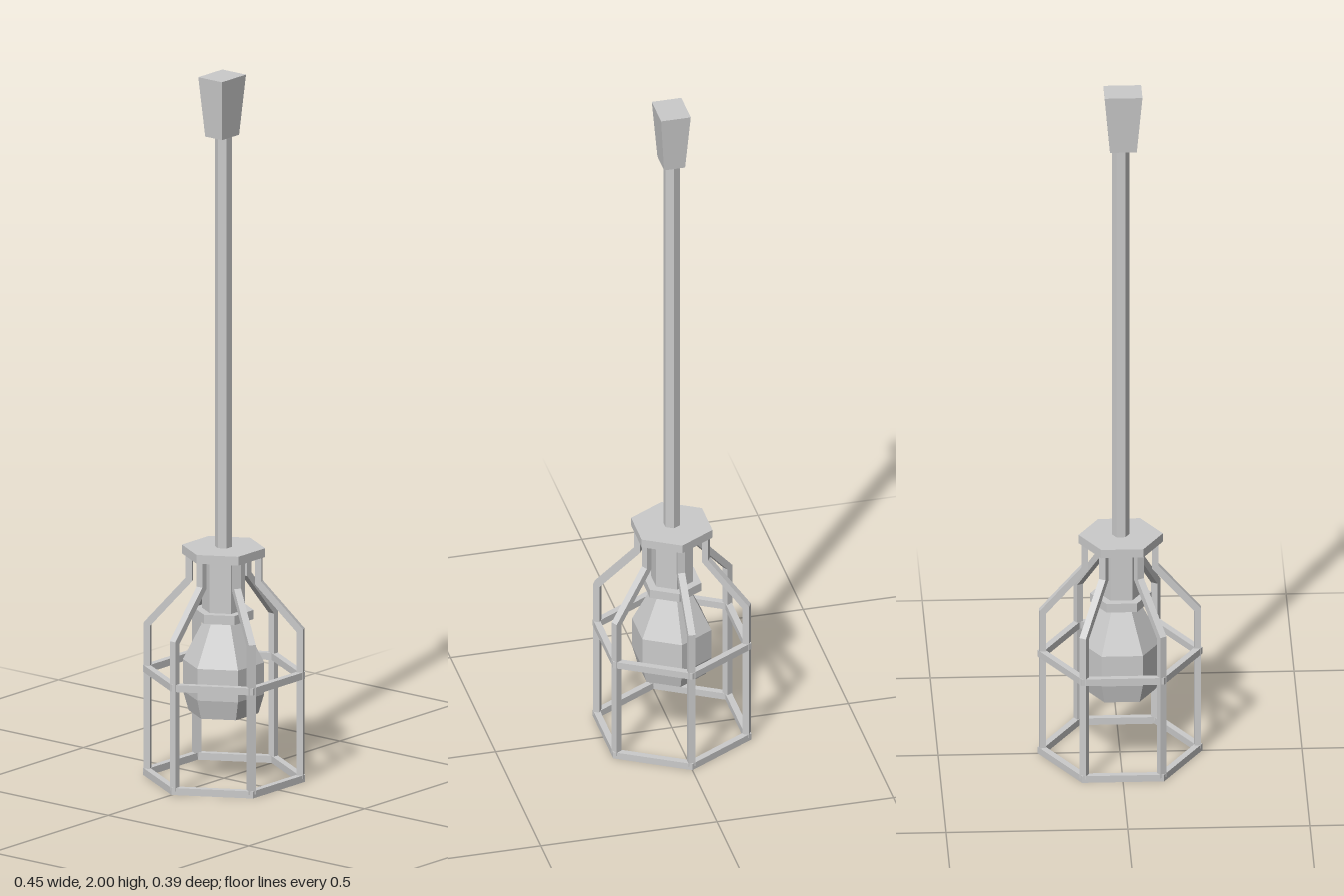
import * as THREE from 'three';

const material = new THREE.MeshStandardMaterial({ color: 0xcccccc, flatShading: true });

function add(parent, name, geometry, x = 0, y = 0, z = 0) {
  const mesh = new THREE.Mesh(geometry, material);
  mesh.name = name;
  mesh.position.set(x, y, z);
  parent.add(mesh);
  return mesh;
}

// Six-sided solid of revolution with corners on the x axis; profile runs bottom to top
function hexLathe(profile) {
  const points = profile.map(([r, y]) => new THREE.Vector2(r, y));
  return new THREE.LatheGeometry(points, 6, Math.PI / 2);
}

// Six-sided straight prism between two heights
function hexPrism(radius, y0, y1) {
  return hexLathe([[0, y0], [radius, y0], [radius, y1], [0, y1]]);
}

function hexPoints(radius) {
  return Array.from({ length: 6 }, (_, i) => {
    const a = (i * Math.PI) / 3;
    return new THREE.Vector2(radius * Math.cos(a), radius * Math.sin(a));
  });
}

// Flat hexagonal hoop
function hexRing(outer, inner, height) {
  const shape = new THREE.Shape(hexPoints(outer));
  shape.holes.push(new THREE.Path(hexPoints(inner).reverse()));
  return new THREE.ExtrudeGeometry(shape, { depth: height, bevelEnabled: false }).rotateX(-Math.PI / 2);
}

// Bent cage bar drawn in the radius/height plane
function barGeometry(width) {
  const outline = [
    [0.204, 0.01], [0.222, 0.01], [0.222, 0.435], [0.106, 0.566],
    [0.106, 0.64], [0.088, 0.64], [0.088, 0.558], [0.204, 0.427],
  ];
  const shape = new THREE.Shape(outline.map(([r, y]) => new THREE.Vector2(r, y)));
  return new THREE.ExtrudeGeometry(shape, { depth: width, bevelEnabled: false }).translate(0, 0, -width / 2);
}

// Rectangular block that narrows towards its base
function taperedBlock(width, height, depth, baseScale) {
  const geometry = new THREE.BoxGeometry(width, height, depth);
  const p = geometry.attributes.position;
  for (let i = 0; i < p.count; i++) {
    if (p.getY(i) < 0) {
      p.setX(i, p.getX(i) * baseScale);
      p.setZ(i, p.getZ(i) * baseScale);
    }
  }
  geometry.computeVertexNormals();
  return geometry;
}

export function createModel() {
  const model = new THREE.Group();
  model.name = 'pendantLamp';

  // Ceiling mount and hanging rod
  add(model, 'ceilingMount', taperedBlock(0.104, 0.17, 0.084, 0.71), -0.008, 1.915, 0);
  add(model, 'rod', hexPrism(0.024, 0.65, 1.84), -0.002);

  // Cap, socket and collar
  add(model, 'cap', hexPrism(0.116, 0.635, 0.66), -0.002);
  add(model, 'socket', hexPrism(0.06, 0.475, 0.64), -0.002);
  add(model, 'collar', hexPrism(0.084, 0.457, 0.483), -0.002);

  // Bulb
  add(model, 'bulb', hexLathe([
    [0, 0.19], [0.097, 0.19], [0.113, 0.245], [0.113, 0.335], [0.052, 0.455], [0.052, 0.465],
  ]), -0.002);

  // Wire cage: six bars and two hoops
  const cage = new THREE.Group();
  cage.name = 'cage';
  model.add(cage);
  const bar = barGeometry(0.02);
  for (let i = 0; i < 6; i++) {
    add(cage, 'cageBar', bar).rotation.y = (i * Math.PI) / 3;
  }
  const hoop = hexRing(0.226, 0.205, 0.02);
  add(cage, 'lowerHoop', hoop);
  add(cage, 'middleHoop', hoop, 0, 0.293, 0);

  return model;
}
